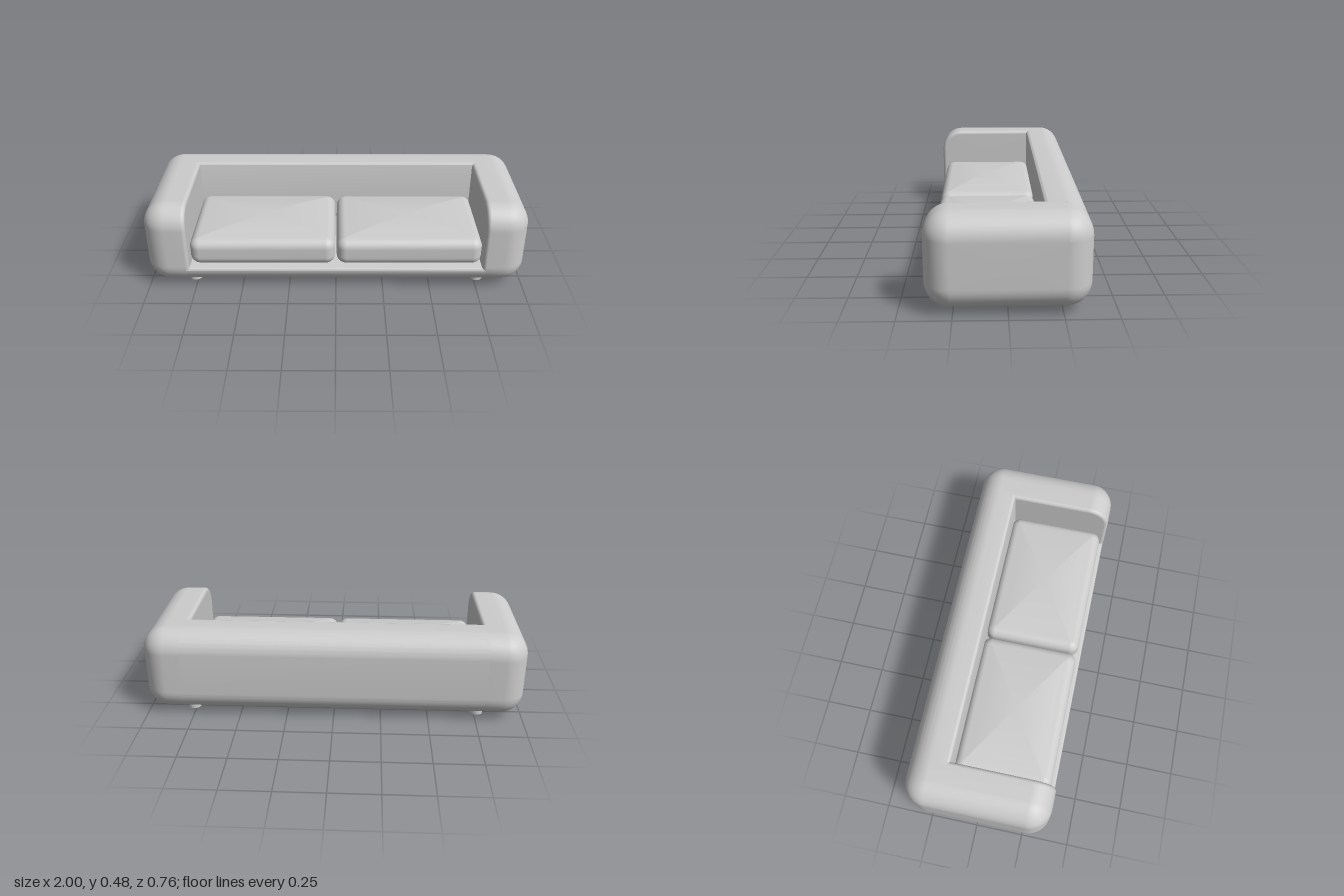
import * as THREE from 'three';
import { toCreasedNormals } from 'three/addons/utils/BufferGeometryUtils.js';

const fabric = new THREE.MeshStandardMaterial({ color: 0xcccccc });
fabric.name = 'grey fabric';

const R = 0.12;                       // outer rounding of the body
const BOTTOM = 0.025, TOP = 0.48, DEPTH = 0.38;
const INNER_X = 0.77, DECK = 0.135, BACK_Z = -0.165, FILLET = 0.02;

// Closed smooth solid from rounded-rectangle rings stacked along z
function loft(a, b, r, sections, n = 10) {
  const pos = [], index = [], count = 4 * (n + 1);
  for (const { at, inset = 0, scale = 1 } of sections) {
    const rad = Math.max(r - inset, 0.001);
    for (let c = 0; c < 4; c++) {
      const cx = (a - inset - rad) * (c === 0 || c === 3 ? 1 : -1);
      const cy = (b - inset - rad) * (c < 2 ? 1 : -1);
      for (let i = 0; i <= n; i++) {
        const t = (c + i / n) * Math.PI / 2;
        pos.push((cx + rad * Math.cos(t)) * scale, (cy + rad * Math.sin(t)) * scale, at);
      }
    }
  }
  const rings = sections.length;
  const first = rings * count, last = first + 1;
  pos.push(0, 0, sections[0].at, 0, 0, sections[rings - 1].at);
  for (let i = 0; i < count; i++) {
    const j = (i + 1) % count;
    for (let k = 0; k < rings - 1; k++) {
      const p = k * count, q = p + count;
      index.push(p + i, p + j, q + j, p + i, q + j, q + i);
    }
    const top = (rings - 1) * count;
    index.push(first, j, i, last, top + i, top + j);
  }
  const g = new THREE.BufferGeometry();
  g.setAttribute('position', new THREE.Float32BufferAttribute(pos, 3));
  g.setIndex(index);
  g.computeVertexNormals();
  return g;
}

// Quarter-round sections at the start (dir 1) or the end (dir -1) of a loft
function rounding(edge, r, dir, steps = 8) {
  const out = [];
  for (let i = 0; i <= steps; i++) {
    const t = (i / steps) * Math.PI / 2;
    out.push({ at: edge + dir * r * (1 - Math.cos(t)), inset: r * (1 - Math.sin(t)) });
  }
  return dir > 0 ? out : out.reverse();
}

// Seat base and backrest share one L-shaped profile (z across, y up)
function baseAndBackGeometry() {
  const z = DEPTH - R, low = BOTTOM + R, high = TOP - R, P = Math.PI;
  const s = new THREE.Shape();
  s.moveTo(-z, BOTTOM);
  s.lineTo(z, BOTTOM);
  s.absarc(z, low, R, -P / 2, -0.22, false);
  s.quadraticCurveTo(0.379, DECK, 0.36, DECK);
  s.lineTo(BACK_Z, DECK);
  s.lineTo(BACK_Z, TOP - FILLET);
  s.quadraticCurveTo(BACK_Z, TOP, BACK_Z - FILLET, TOP);
  s.lineTo(-z, TOP);
  s.absarc(-z, high, R, P / 2, P, false);
  s.lineTo(-DEPTH, low);
  s.absarc(-z, low, R, P, P * 1.5, false);
  const length = 2 * (INNER_X + FILLET);
  const g = new THREE.ExtrudeGeometry(s, { depth: length, bevelEnabled: false, curveSegments: 12 });
  g.translate(0, 0, -length / 2);
  g.rotateY(-Math.PI / 2);
  return toCreasedNormals(g, 0.6);
}

export function createModel() {
  const sofa = new THREE.Group();
  sofa.name = 'sofa';
  const add = (name, geometry, x = 0, y = 0, z = 0) => {
    const m = new THREE.Mesh(geometry, fabric);
    m.name = name;
    m.position.set(x, y, z);
    sofa.add(m);
    return m;
  };

  add('baseAndBackrest', baseAndBackGeometry());

  // Arms: softly rounded inner edge, large rounding on the outside
  const armSections = [...rounding(INNER_X, FILLET, 1, 5), ...rounding(1, R, -1, 10)];
  const arm = loft(DEPTH, (TOP - BOTTOM) / 2, R, armSections);

  // Cushions: rounded box with a gently crowned top
  const cr = 0.05, cTop = 0.285, crown = 0.02;
  const cushionSections = [...rounding(DECK, cr, 1), ...rounding(cTop, cr, -1)];
  for (const s of [0.85, 0.7, 0.5, 0.25]) {
    cushionSections.push({ at: cTop + crown * (1 - s * s), inset: cr, scale: s });
  }
  const zBack = BACK_Z - 0.008, zFront = 0.353;
  const cushion = loft(0.382, (zFront - zBack) / 2, cr, cushionSections);
  cushion.rotateX(-Math.PI / 2);

  const leg = new THREE.CylinderGeometry(0.035, 0.035, 0.04, 24);

  for (const side of [1, -1]) {
    const label = side > 0 ? 'left' : 'right';
    add(label + 'Arm', arm, 0, (TOP + BOTTOM) / 2, 0).rotation.y = side * Math.PI / 2;
    add(label + 'Cushion', cushion, side * 0.386, 0, (zFront + zBack) / 2);
    add(label + 'FrontLeg', leg, side * 0.765, 0.02, 0.254);
    add(label + 'BackLeg', leg, side * 0.765, 0.02, -0.254);
  }
  return sofa;
}
